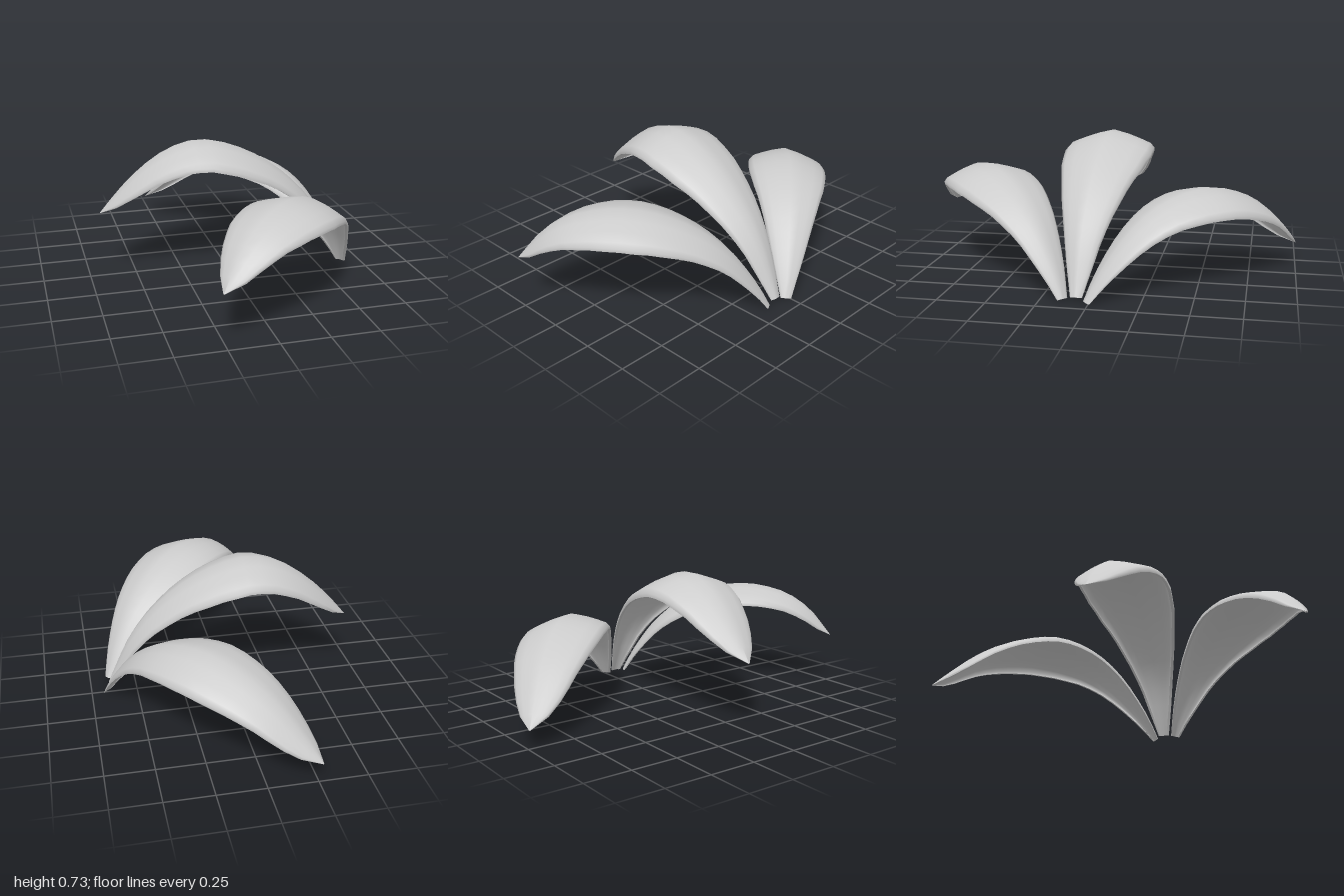
import * as THREE from 'three';
import { toCreasedNormals } from 'three/addons/utils/BufferGeometryUtils.js';

const RINGS = 20;
const THICKNESS = 0.014;

// half width of a leaf by fraction of its length
const WIDTHS = [[0, 0.03], [0.05, 0.068], [0.1, 0.098], [0.15, 0.124], [0.22, 0.157], [0.37, 0.213], [0.5, 0.237],
  [0.62, 0.233], [0.75, 0.203], [0.86, 0.155], [0.93, 0.107], [0.975, 0.056], [1, 0.003]];

// half of the arched cross-section: sideways position, drop below the ridge
const HALF = [[1, 1], [1, 0.83], [0.9, 0.61], [0.65, 0.4], [0.35, 0.18]];
const SECTION = [...HALF.map(([u, p]) => [-u, p]), [0, 0], ...HALF.slice().reverse()];

function widthAt(f) {
  for (let i = 1; i < WIDTHS.length; i++) {
    const [f0, w0] = WIDTHS[i - 1], [f1, w1] = WIDTHS[i];
    if (f <= f1) return w0 + (w1 - w0) * (Math.max(f, 0) - f0) / (f1 - f0);
  }
  return WIDTHS[WIDTHS.length - 1][1];
}

function leafGeometry({ base, tip, profile, scale, bend, roll }) {
  const start = new THREE.Vector3(base[0], 0, base[1]);
  const axis = new THREE.Vector3(tip[0], 0, tip[1]).sub(start);
  const length = axis.length();
  axis.normalize();
  const side = axis.clone().cross(new THREE.Vector3(0, 1, 0));

  // arched ridge line
  const ridge = new THREE.CatmullRomCurve3(profile.map(([f, y]) => {
    const p = start.clone().addScaledVector(axis, f * length);
    p.addScaledVector(side, bend * Math.sin(Math.PI * f));
    p.y = y;
    return p;
  }));

  // closed cross-sections: upper skin across, lower skin back
  const pos = [], index = [];
  const m = SECTION.length, n = m * 2;
  for (let i = 0; i <= RINGS; i++) {
    const t = i / RINGS;
    const c = ridge.getPointAt(t);
    const T = ridge.getTangentAt(t);
    const f = c.clone().sub(start).dot(axis) / length;
    const w = widthAt(f) * scale;
    const th = Math.min(THICKNESS, w * 0.4);
    const flat = T.clone().cross(new THREE.Vector3(0, 1, 0)).normalize();
    const up = flat.clone().cross(T);
    const B = flat.clone().multiplyScalar(Math.cos(roll)).addScaledVector(up, -Math.sin(roll));
    const N = B.clone().cross(T);
    const add = (u, drop) => {
      const p = c.clone().addScaledVector(B, u).addScaledVector(N, -drop);
      pos.push(p.x, Math.max(p.y, 0), p.z);
    };
    SECTION.forEach(([u, p]) => add(u * w, p * w * 0.47));
    SECTION.slice().reverse().forEach(([u, p]) => add(u * (w - th), p * w * 0.47 + th * (1 - 0.8 * p)));
  }
  for (let i = 0; i < RINGS; i++) {
    for (let j = 0; j < n; j++) {
      const k = (j + 1) % n;
      const a = i * n + j, b = i * n + k, c = a + n, d = b + n;
      index.push(a, b, d, a, d, c);
    }
  }
  // caps at the foot and the tip
  const last = RINGS * n;
  for (let j = 0; j < m - 1; j++) {
    const a = j, b = j + 1, c = n - 2 - j, d = n - 1 - j;
    index.push(a, c, b, a, d, c);
    index.push(last + a, last + b, last + c, last + a, last + c, last + d);
  }
  const g = new THREE.BufferGeometry();
  g.setAttribute('position', new THREE.Float32BufferAttribute(pos, 3));
  g.setIndex(index);
  return toCreasedNormals(g, 0.9);
}

const LEAVES = {
  middleLeaf: {
    base: [0.65, 0.07], tip: [-0.685, -0.01], scale: 1.02, bend: -0.01, roll: 0,
    profile: [[0, 0.02], [0.0375, 0.135], [0.086, 0.27], [0.15, 0.395], [0.217, 0.49], [0.285, 0.567], [0.37, 0.64],
      [0.46, 0.695], [0.555, 0.73], [0.645, 0.725], [0.75, 0.67], [0.84, 0.585], [0.925, 0.475], [1, 0.355]]
  },
  frontLeaf: {
    base: [0.65, 0.13], tip: [-0.27, 1], scale: 0.96, bend: -0.03, roll: -0.05,
    profile: [[0, 0.01], [0.04, 0.11], [0.09, 0.21], [0.15, 0.31], [0.22, 0.395], [0.3, 0.465], [0.4, 0.525],
      [0.5, 0.56], [0.6, 0.57], [0.7, 0.555], [0.8, 0.515], [0.9, 0.43], [1, 0.28]]
  },
  backLeaf: {
    base: [0.67, 0.02], tip: [-0.27, -1], scale: 0.93, bend: 0.04, roll: 0.1,
    profile: [[0, 0.005], [0.04, 0.1], [0.09, 0.195], [0.15, 0.29], [0.22, 0.375], [0.3, 0.44], [0.4, 0.485],
      [0.5, 0.5], [0.58, 0.49], [0.72, 0.425], [0.82, 0.34], [0.915, 0.22], [1, 0.1]]
  }
};

export function createModel() {
  const group = new THREE.Group();
  const material = new THREE.MeshStandardMaterial({ color: 0xcccccc, side: THREE.DoubleSide });
  for (const [name, spec] of Object.entries(LEAVES)) {
    const leaf = new THREE.Mesh(leafGeometry(spec), material);
    leaf.name = name;
    group.add(leaf);
  }
  return group;
}
